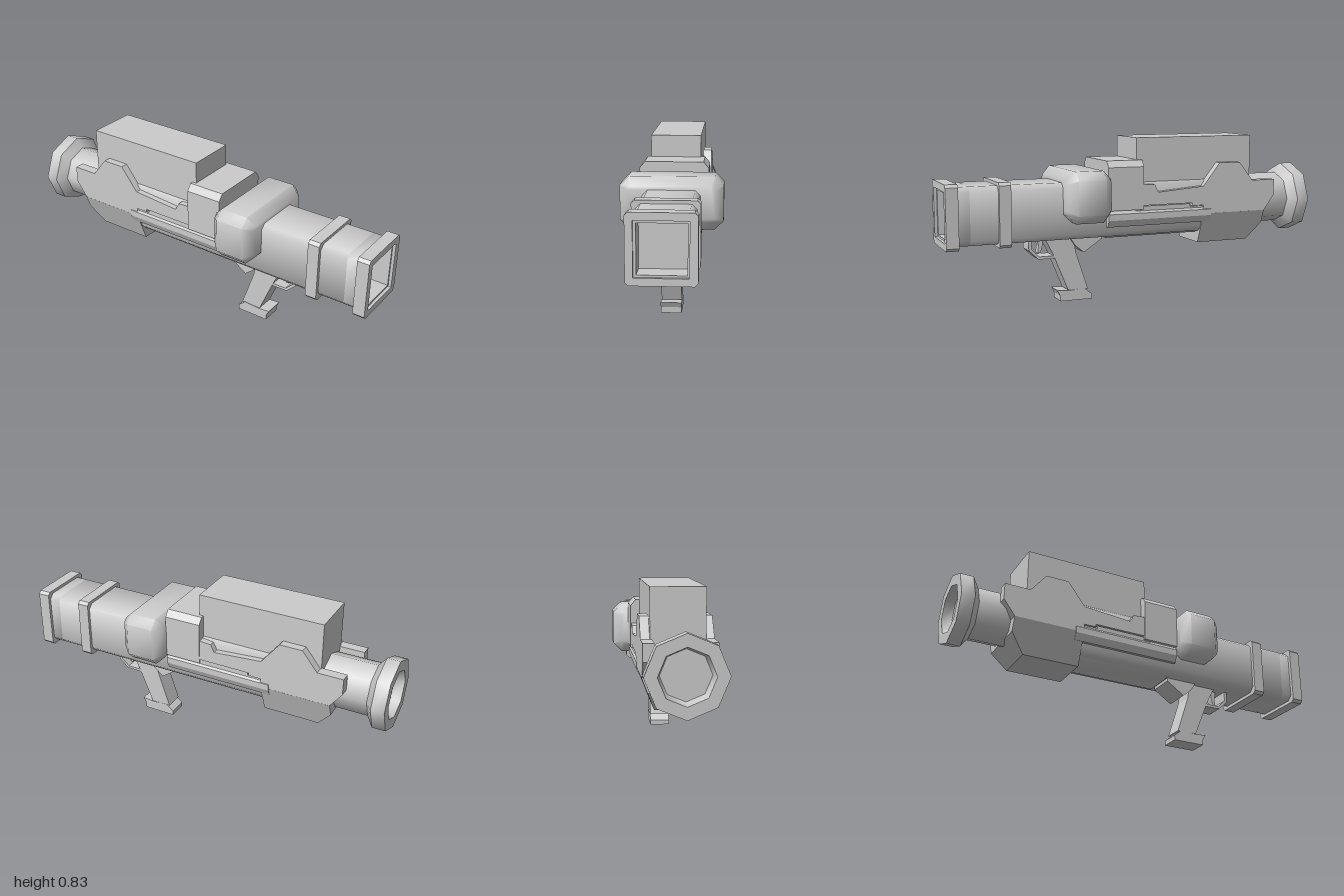
import * as THREE from 'three';
import { toCreasedNormals } from 'three/addons/utils/BufferGeometryUtils.js';

const material = new THREE.MeshStandardMaterial({ color: 0xcccccc });
const vec = (pts) => pts.map(([a, b]) => new THREE.Vector2(a, b));

// Rectangle outline with cut corners
function cutRect(x0, x1, y0, y1, c) {
  return [[x0 + c, y0], [x1 - c, y0], [x1, y0 + c], [x1, y1 - c],
    [x1 - c, y1], [x0 + c, y1], [x0, y1 - c], [x0, y0 + c]];
}

function extrude(points, depth, hole, bevel = 0) {
  const shape = new THREE.Shape(vec(points));
  if (hole) shape.holes.push(new THREE.Path(vec(hole)));
  return new THREE.ExtrudeGeometry(shape, {
    depth, bevelEnabled: bevel > 0, bevelSize: bevel, bevelThickness: bevel, bevelSegments: 1,
  });
}

// Cross-section in (x, y), running along z
const prism = (points, z0, z1, hole) => extrude(points, z1 - z0, hole).translate(0, 0, z0);

// Side profile in (z, y), running across x
const slab = (points, x0, x1, hole) =>
  extrude(points, x1 - x0, hole).rotateY(-Math.PI / 2).translate(x1, 0, 0);

const box = (x0, x1, y0, y1, z0, z1) =>
  new THREE.BoxGeometry(x1 - x0, y1 - y0, z1 - z0)
    .translate((x0 + x1) / 2, (y0 + y1) / 2, (z0 + z1) / 2);

export function createModel() {
  const model = new THREE.Group();
  const add = (name, geometry) => {
    const mesh = new THREE.Mesh(geometry, material);
    mesh.name = name;
    model.add(mesh);
    return mesh;
  };

  // Square barrel with a hollow mouth
  const section = cutRect(-0.14, 0.14, 0.332, 0.62, 0.025);
  const bore = cutRect(-0.11, 0.11, 0.36, 0.587, 0);
  add('barrel', toCreasedNormals(prism(section, -0.6, 0.88), 0.9));
  add('barrelMouth', toCreasedNormals(prism(section, 0.88, 0.985, bore), 0.9));
  const collar = cutRect(-0.158, 0.156, 0.315, 0.636, 0.015);
  add('muzzleCollar', prism(collar, 0.938, 1, cutRect(-0.123, 0.119, 0.35, 0.6, 0)));
  add('barrelBand', prism(collar, 0.68, 0.74));

  // Rounded cross housing
  const bulge = extrude(cutRect(-0.212, 0.21, 0.463, 0.637, 0.018), 0.145, null, 0.043);
  add('crossHousing', toCreasedNormals(bulge.translate(0, 0, 0.223), 1.0));

  // Shoulder block behind the housing
  add('shoulderBlock', prism([[-0.177, 0.47], [0.175, 0.47], [0.175, 0.69], [0.148, 0.723],
    [-0.15, 0.723], [-0.177, 0.69]], -0.012, 0.182));

  // Large top box
  add('topBox', box(-0.132, 0.128, 0.45, 0.835, -0.655, 0.01));

  // Side plates, rails and ridges, mirrored
  const plate = [[0.0, 0.6], [-0.075, 0.595], [-0.095, 0.555], [-0.355, 0.575], [-0.45, 0.695],
    [-0.57, 0.695], [-0.65, 0.595], [-0.785, 0.595], [-0.785, 0.51], [-0.725, 0.43],
    [-0.355, 0.43], [-0.355, 0.475], [-0.29, 0.475], [-0.29, 0.49], [-0.01, 0.49], [0.0, 0.47]];
  for (const side of [-1, 1]) {
    const across = (points, a, b) => slab(points, Math.min(a * side, b * side), Math.max(a * side, b * side));
    const name = side > 0 ? 'left' : 'right';
    add(name + 'SidePlate', across(plate, 0.118, 0.171));
    add(name + 'Ridge', across([[0.03, 0.455], [-0.355, 0.455], [-0.355, 0.472], [-0.28, 0.472],
      [-0.28, 0.486], [-0.01, 0.486], [0.0, 0.466], [0.03, 0.466]], 0.12, 0.165));
  }

  // Lower receiver with tapered flanks
  add('lowerReceiver', prism([[-0.155, 0.385], [0.155, 0.385], [0.173, 0.42], [0.173, 0.452],
    [0.16, 0.47], [-0.16, 0.47], [-0.173, 0.452], [-0.173, 0.42]], -0.4, 0.18));
  add('underTube', toCreasedNormals(prism(cutRect(-0.125, 0.125, 0.32, 0.42, 0.045), -0.4, 0.165), 0.9));

  // Rear lower block, narrowing toward its underside
  const heel = slab([[-0.355, 0.43], [-0.355, 0.267], [-0.65, 0.267], [-0.725, 0.36], [-0.725, 0.43]], -1, 1);
  const p = heel.attributes.position;
  for (let i = 0; i < p.count; i++) {
    p.setX(i, p.getX(i) * (0.108 + (p.getY(i) - 0.267) * 0.39));
  }
  heel.computeVertexNormals();
  add('rearLowerBlock', heel);

  // Eight-sided exhaust tube with flared, hollow end
  const exhaust = new THREE.LatheGeometry(vec([[0.137, 0.5], [0.137, 0.895], [0.187, 0.932],
    [0.187, 1], [0.128, 1], [0.115, 0.95], [0, 0.95]]), 8);
  exhaust.rotateX(-Math.PI / 2).translate(-0.002, 0.478, 0);
  add('exhaust', toCreasedNormals(exhaust.toNonIndexed(), 0.8));

  // Pistol grip, foot and rear bracket
  add('grip', slab([[0.487, 0.345], [0.438, 0.25], [0.358, 0.055], [0.25, 0.055], [0.315, 0.25],
    [0.33, 0.345]], -0.051, 0.049));
  add('gripFoot', slab([[0.417, 0.058], [0.358, 0.052], [0.268, 0.058], [0.228, 0.025], [0.228, 0],
    [0.4, 0], [0.402, 0.03]], -0.053, 0.05));
  add('gripBracket', slab([[0.36, 0.345], [0.325, 0.29], [0.277, 0.25], [0.18, 0.315], [0.18, 0.36]], -0.07, 0.067));

  // Trigger guard and trigger
  add('triggerGuard', slab([[0.565, 0.345], [0.565, 0.275], [0.515, 0.227], [0.43, 0.225],
    [0.43, 0.24], [0.508, 0.24], [0.55, 0.281], [0.55, 0.345]], -0.05, 0.048));
  add('trigger', slab([[0.515, 0.345], [0.505, 0.29], [0.51, 0.255], [0.495, 0.255], [0.485, 0.29],
    [0.48, 0.345]], -0.02, 0.02));

  return model;
}
